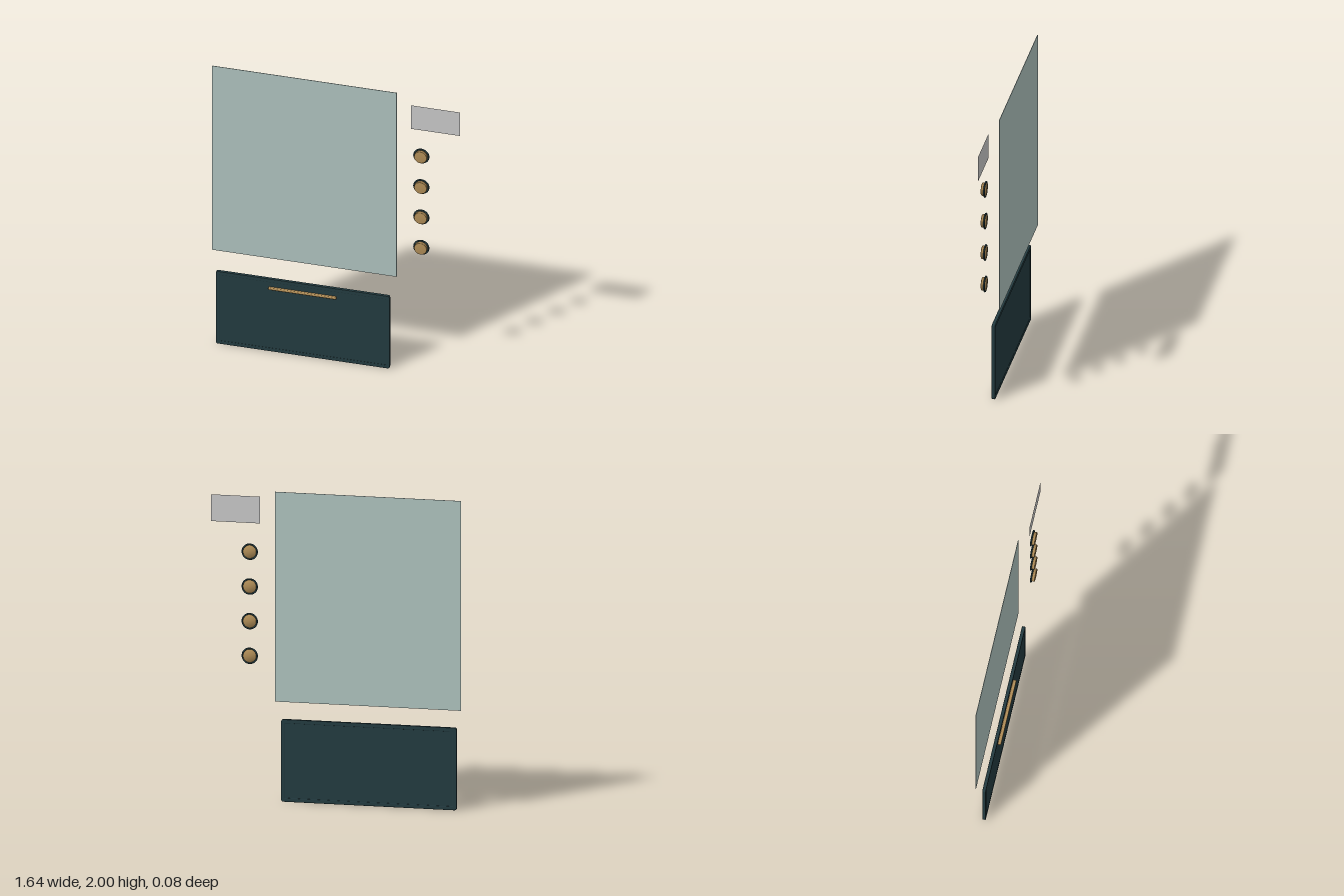
import * as THREE from 'three';
import { RoundedBoxGeometry } from 'three/addons/geometries/RoundedBoxGeometry.js';

const mat = (name, color, extra = {}) => {
  const m = new THREE.MeshStandardMaterial({ color, ...extra });
  m.name = name;
  return m;
};

// Rectangle outline with rounded corners, centred on the origin
function roundedRect(Type, w, h, r) {
  const s = new Type(), x = w / 2, y = h / 2;
  s.moveTo(-x + r, -y);
  s.lineTo(x - r, -y);
  s.quadraticCurveTo(x, -y, x, -y + r);
  s.lineTo(x, y - r);
  s.quadraticCurveTo(x, y, x - r, y);
  s.lineTo(-x + r, y);
  s.quadraticCurveTo(-x, y, -x, y - r);
  s.lineTo(-x, -y + r);
  s.quadraticCurveTo(-x, -y, -x + r, -y);
  return s;
}

export function createModel() {
  const group = new THREE.Group();
  const glass = mat('pale green glass', 0xafc3bf);
  const enamel = mat('dark teal enamel', 0x233b40);
  const brass = mat('brass', 0xb08d57);
  const grey = mat('display grey', 0xc8c8c8, { side: THREE.DoubleSide });

  const add = (name, geometry, material, x, y, z, parent = group) => {
    const mesh = new THREE.Mesh(geometry, material);
    mesh.name = name;
    mesh.position.set(x, y, z);
    parent.add(mesh);
    return mesh;
  };

  // Large thin window pane
  add('windowPane', new THREE.BoxGeometry(1.21, 1.35, 0.003), glass, -0.215, 1.325, -0.037);

  // Flat display sheet
  add('displaySheet', new THREE.PlaneGeometry(0.32, 0.172), grey, 0.657, 1.867, 0.01);

  // Drawer front: rounded rim around a slightly recessed panel
  const drawer = new THREE.Group();
  drawer.name = 'drawerFront';
  drawer.position.set(-0.212, 0.265, 0.007);
  group.add(drawer);
  const rim = roundedRect(THREE.Shape, 1.134, 0.524, 0.012);
  rim.holes.push(roundedRect(THREE.Path, 1.096, 0.486, 0.004));
  const rimGeometry = new THREE.ExtrudeGeometry(rim, {
    depth: 0.016, bevelEnabled: true, bevelThickness: 0.003, bevelSize: 0.003, bevelSegments: 2, curveSegments: 6,
  });
  add('drawerRim', rimGeometry, enamel, 0, 0, -0.008, drawer);
  add('drawerPanel', new THREE.BoxGeometry(1.1, 0.49, 0.018), enamel, 0, 0, 0, drawer);

  // Slim bar handle
  add('drawerHandle', new RoundedBoxGeometry(0.446, 0.016, 0.022, 3, 0.006), brass, -0.21, 0.468, 0.027);

  // Column of control knobs, each with a dark collar
  const profile = [[0, 0.01], [0.042, 0.01], [0.042, 0.034], [0.039, 0.038], [0, 0.038]];
  const knobGeometry = new THREE.LatheGeometry(profile.map(([r, z]) => new THREE.Vector2(r, z)), 40);
  knobGeometry.rotateX(Math.PI / 2);
  const collarGeometry = new THREE.TorusGeometry(0.0475, 0.0055, 12, 40);
  for (const y of [1.595, 1.371, 1.148, 0.925]) {
    const control = new THREE.Group();
    control.name = 'controlKnob';
    control.position.set(0.566, y, 0);
    group.add(control);
    add('knob', knobGeometry, brass, 0, 0, 0, control);
    add('knobCollar', collarGeometry, enamel, 0, 0, 0.0145, control);
  }
  return group;
}
